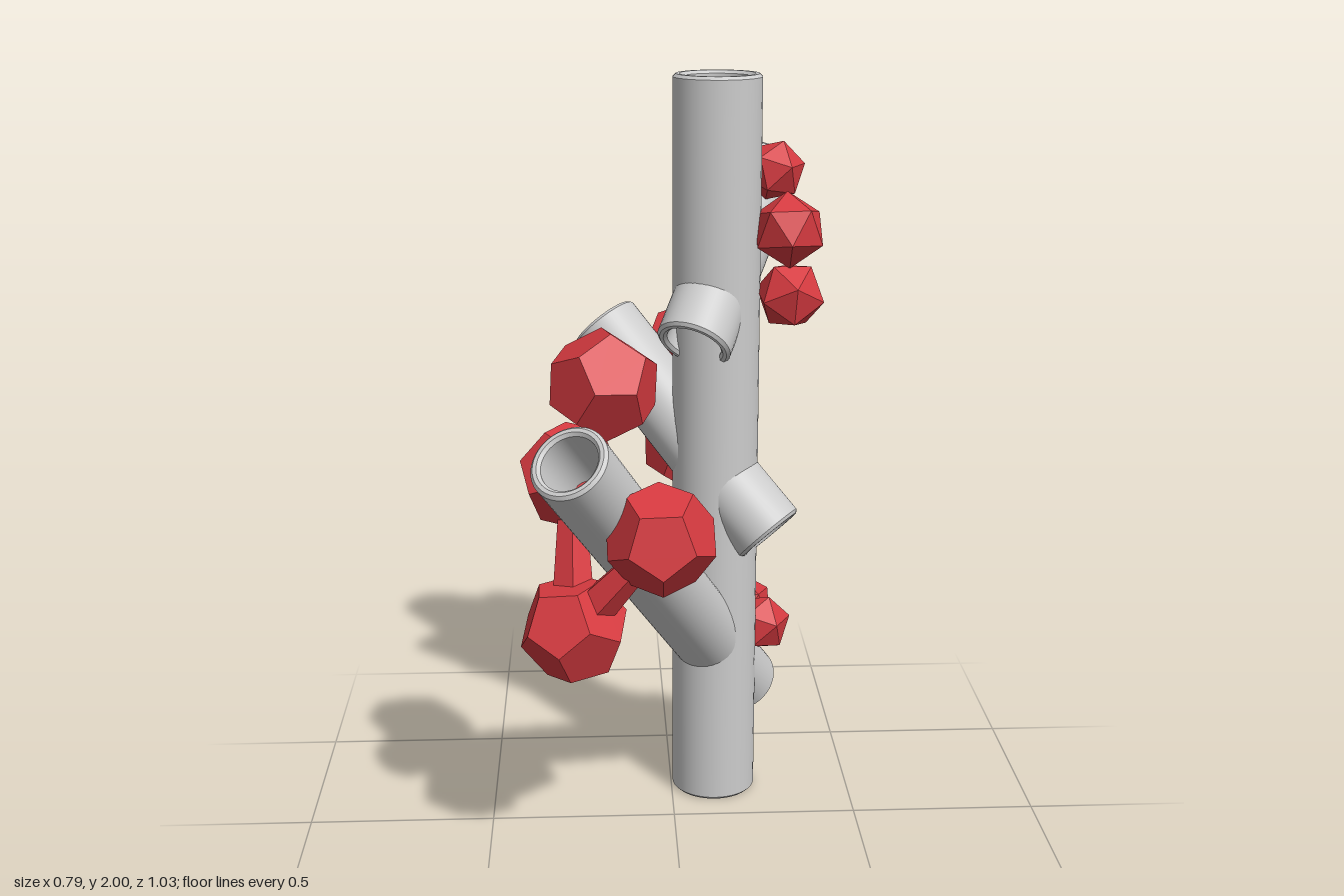
import * as THREE from 'three';
import { toCreasedNormals } from 'three/addons/utils/BufferGeometryUtils.js';

const grey = new THREE.MeshStandardMaterial({ color: 0xcccccc });
grey.name = 'paleGrey';
const red = new THREE.MeshStandardMaterial({ color: 0xd63a40 });
red.name = 'red';

const UP = new THREE.Vector3(0, 1, 0);
const AXIS = [0.12, -0.195]; // x and z of the upright pipe

// Pipe with a chamfered rim, hollow from the tip down to floorY
function pipe(name, radius, length, floorY) {
  const c = 0.008, inner = radius - 0.026;
  const profile = [
    [0, 0], [radius - c, 0], [radius, c], [radius, length - c], [radius - c, length],
    [inner + c, length], [inner, length - c], [inner, floorY], [0, floorY],
  ].map(([x, y]) => new THREE.Vector2(x, y));
  const mesh = new THREE.Mesh(toCreasedNormals(new THREE.LatheGeometry(profile, 40), 0.5), grey);
  mesh.name = name;
  return mesh;
}

// Branch pipe running from the axis of the upright to its tip
function branch(name, startY, tip) {
  const start = new THREE.Vector3(AXIS[0], startY, AXIS[1]);
  const dir = new THREE.Vector3(...tip).sub(start);
  const mesh = pipe(name, 0.1, dir.length(), 0.02);
  mesh.position.copy(start);
  mesh.quaternion.setFromUnitVectors(UP, dir.normalize());
  return mesh;
}

// Faceted red growths, each [x, y, z, radius]
function cluster(name, balls, small) {
  const group = new THREE.Group();
  group.name = name;
  balls.forEach(([x, y, z, r], i) => {
    const geometry = small ? new THREE.IcosahedronGeometry(r) : new THREE.DodecahedronGeometry(r);
    const ball = new THREE.Mesh(geometry, red);
    ball.name = 'growth';
    ball.position.set(x, y, z);
    ball.rotation.set(0.4 + i * 1.3, 0.7 + i * 0.9, 0.2 + i * 0.5);
    group.add(ball);
  });
  return group;
}

// Narrow faceted neck joining two growths
function neck(a, b) {
  const from = new THREE.Vector3(...a), to = new THREE.Vector3(...b);
  const dir = to.clone().sub(from);
  const geometry = new THREE.CylinderGeometry(0.03, 0.06, dir.length(), 5);
  const mesh = new THREE.Mesh(toCreasedNormals(geometry, 0.1), red);
  mesh.name = 'growthNeck';
  mesh.position.copy(from).add(to).multiplyScalar(0.5);
  mesh.quaternion.setFromUnitVectors(UP, dir.normalize());
  return mesh;
}

export function createModel() {
  const model = new THREE.Group();
  model.name = 'pipeTree';

  // Upright pipe
  const trunk = pipe('trunkPipe', 0.116, 2, 1.65);
  trunk.position.set(AXIS[0], 0, AXIS[1]);
  model.add(trunk);

  // Three branches rising outward, three stubs pointing down
  model.add(
    branch('longFrontBranch', 0.43, [-0.27, 1.16, 0.43]),
    branch('upperBackBranch', 1.45, [0.27, 1.74, -0.44]),
    branch('middleBackBranch', 0.95, [-0.18, 1.31, -0.385]),
    branch('upperFrontStub', 1.45, [0.052, 1.315, -0.075]),
    branch('middleSideStub', 0.945, [0.265, 0.78, -0.112]),
    branch('lowerBackStub', 0.42, [0.213, 0.265, -0.312]),
  );

  // Large growths around the long branch
  const front = [
    [-0.183, 1.305, 0.27, 0.14], [-0.05, 0.947, 0.385, 0.14],
    [-0.265, 0.688, 0.305, 0.14], [-0.265, 1.04, 0.152, 0.137],
  ];
  const frontCluster = cluster('frontGrowths', front, false);
  frontCluster.add(neck(front[2], front[3]), neck(front[2], front[1]));
  model.add(frontCluster);

  // Large growths behind the upright
  const backCluster = cluster('backGrowths', [
    [0.062, 1.23, -0.4, 0.134], [0.062, 0.948, -0.4, 0.134],
  ], false);
  backCluster.children.forEach((ball) => ball.rotation.x += 0.5);
  model.add(backCluster);

  // Small growths near the top and the foot
  model.add(cluster('upperGrowths', [
    [0.275, 1.745, -0.248, 0.082], [0.305, 1.603, -0.157, 0.1],
    [0.312, 1.43, -0.16, 0.095], [0.115, 1.735, -0.36, 0.095],
  ], true));
  model.add(cluster('lowerGrowths', [
    [0.255, 0.47, -0.245, 0.085], [0.2, 0.475, -0.355, 0.105], [0.13, 0.425, -0.4, 0.1],
  ], true));

  return model;
}
